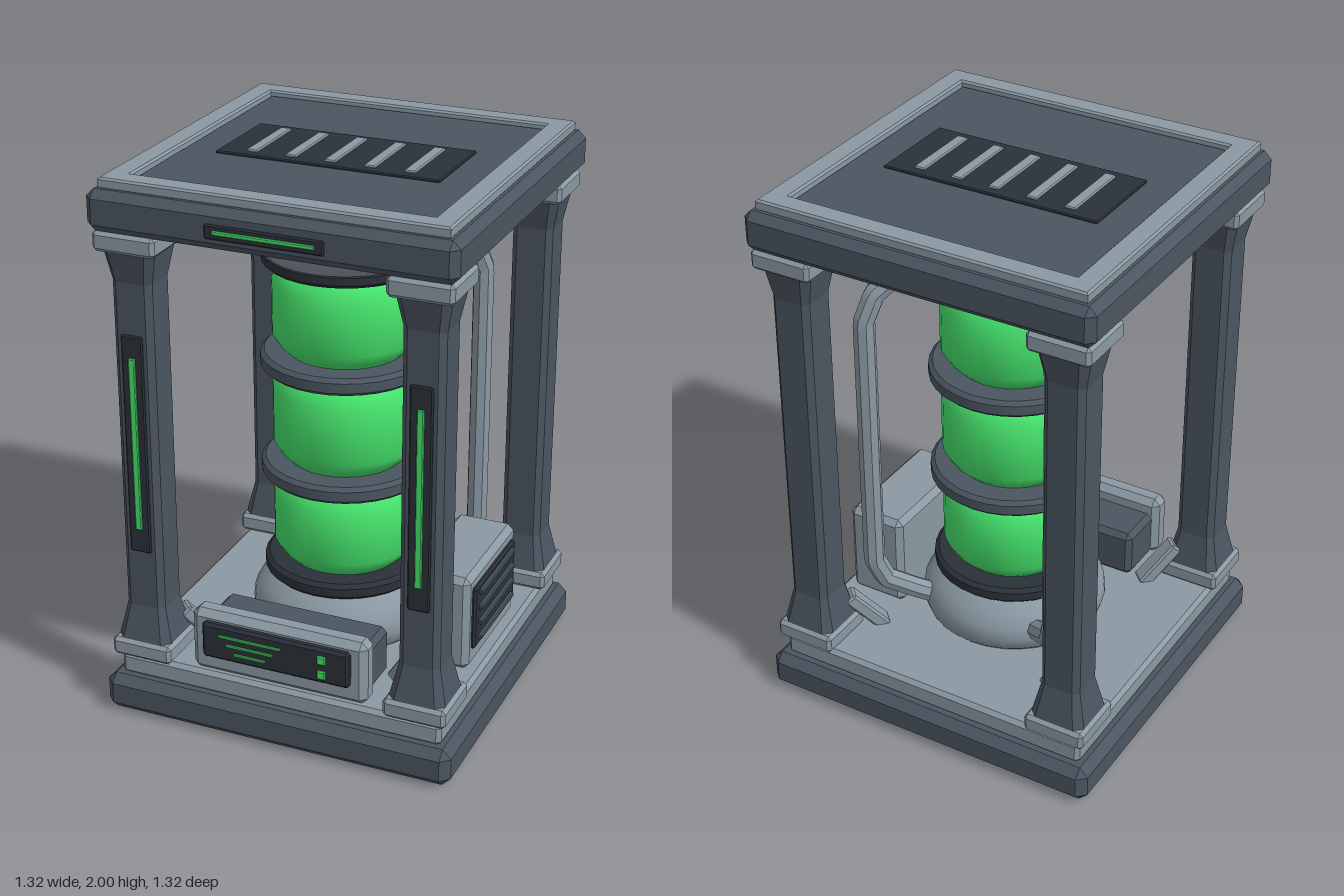
import * as THREE from 'three';
import { ConvexGeometry } from 'three/addons/geometries/ConvexGeometry.js';
import { toCreasedNormals } from 'three/addons/utils/BufferGeometryUtils.js';

const mat = (color, extra = {}) => new THREE.MeshStandardMaterial({ color, ...extra });
const STEEL = mat(0x4b5560);
const LIGHT = mat(0x8b99a3);
const DARK = mat(0x2b3139);
const GREEN = mat(0x46e46c);
const V = (x, y, z) => new THREE.Vector3(x, y, z);
const SIGNS = [-1, 1];

function add(parent, name, geometry, material, x = 0, y = 0, z = 0) {
  const mesh = new THREE.Mesh(geometry, material);
  mesh.name = name;
  mesh.position.set(x, y, z);
  parent.add(mesh);
  return mesh;
}

// Box with every edge chamfered by c, given by its extents
function block(parent, name, material, [x0, x1], [y0, y1], [z0, z1], c = 0.01) {
  const w = (x1 - x0) / 2, h = (y1 - y0) / 2, d = (z1 - z0) / 2;
  const pts = [];
  for (const i of SIGNS) for (const j of SIGNS) for (const k of SIGNS) {
    pts.push(V(i * w, j * (h - c), k * (d - c)));
    pts.push(V(i * (w - c), j * h, k * (d - c)));
    pts.push(V(i * (w - c), j * (h - c), k * d));
  }
  return add(parent, name, new ConvexGeometry(pts), material, (x0 + x1) / 2, (y0 + y1) / 2, (z0 + z1) / 2);
}

// Square post section with chamfered corners, tapering from half-width a to b
function post(parent, name, y0, y1, a, b) {
  const pts = [];
  for (const [y, r] of [[y0, a], [y1, b]])
    for (const i of SIGNS) for (const k of SIGNS) {
      const c = r * 0.72;
      pts.push(V(i * r, y, k * c), V(i * c, y, k * r));
    }
  return add(parent, name, new ConvexGeometry(pts), STEEL);
}

function lathe(parent, name, material, profile) {
  const pts = profile.map(([r, y]) => new THREE.Vector2(r, y));
  return add(parent, name, toCreasedNormals(new THREE.LatheGeometry(pts, 32), 0.6), material);
}

function column(sx, sz) {
  const g = new THREE.Group();
  g.name = 'column';
  block(g, 'columnFoot', LIGHT, [-0.115, 0.115], [0.22, 0.29], [-0.115, 0.115], 0.013);
  post(g, 'lowerFlare', 0.285, 0.42, 0.104, 0.074);
  post(g, 'shaft', 0.42, 1.64, 0.074, 0.074);
  post(g, 'upperFlare', 1.64, 1.76, 0.074, 0.098);
  block(g, 'columnCapital', LIGHT, [-0.115, 0.115], [1.75, 1.822], [-0.115, 0.115], 0.013);
  if (sz > 0) {
    block(g, 'lightHousing', DARK, [-0.04, 0.04], [0.64, 1.455], [0.06, 0.082], 0.005);
    block(g, 'lightStrip', GREEN, [-0.012, 0.012], [0.73, 1.375], [0.07, 0.09], 0.003);
  }
  g.position.set(sx * 0.52, 0, sz * 0.52);
  return g;
}

export function createModel() {
  const model = new THREE.Group();

  // Base and floor
  block(model, 'base', STEEL, [-0.66, 0.66], [0, 0.142], [-0.66, 0.66], 0.032);
  block(model, 'floor', LIGHT, [-0.612, 0.612], [0.135, 0.22], [-0.612, 0.612], 0.015);

  // Roof with a raised frame around a recessed panel
  block(model, 'roof', STEEL, [-0.65, 0.65], [1.82, 1.965], [-0.65, 0.65], 0.028);
  const square = (Type, r) => new Type([[-r, -r], [r, -r], [r, r], [-r, r]].map(([x, y]) => new THREE.Vector2(x, y)));
  const frame = square(THREE.Shape, 0.605);
  frame.holes.push(square(THREE.Path, 0.538));
  const frameGeo = new THREE.ExtrudeGeometry(frame, {
    depth: 0.026, bevelThickness: 0.007, bevelSize: 0.007, bevelSegments: 1,
  });
  frameGeo.rotateX(-Math.PI / 2);
  add(model, 'roofFrame', frameGeo, LIGHT, 0, 1.967, 0);
  block(model, 'roofPanel', STEEL, [-0.528, 0.528], [1.95, 1.982], [-0.528, 0.528], 0.006);
  block(model, 'roofVent', DARK, [-0.405, 0.405], [1.97, 1.99], [-0.175, 0.175], 0.004);
  for (let i = -2; i <= 2; i++)
    block(model, 'roofVentSlat', LIGHT, [i * 0.143 - 0.021, i * 0.143 + 0.021], [1.98, 1.997], [-0.14, 0.14], 0.004);
  block(model, 'roofLightHousing', DARK, [-0.208, 0.208], [1.862, 1.912], [0.63, 0.658], 0.005);
  block(model, 'roofLight', GREEN, [-0.178, 0.178], [1.88, 1.895], [0.64, 0.664], 0.003);

  // Corner columns, each with a slanted brace pointing to the centre
  for (const sx of SIGNS) for (const sz of SIGNS) {
    model.add(column(sx, sz));
    const brace = new THREE.Group();
    brace.name = 'brace';
    const bar = block(brace, 'braceBar', LIGHT, [-0.1, 0.1], [-0.025, 0.025], [-0.035, 0.035], 0.008);
    bar.position.set(0.565, 0.28, 0);
    bar.rotation.z = 0.85;
    brace.rotation.y = Math.atan2(-sz, sx);
    model.add(brace);
  }

  // Tank collars, seals, bands and three glowing cells
  lathe(model, 'lowerCollar', LIGHT, [[0, 0.21], [0.3, 0.21], [0.325, 0.235], [0.34, 0.28], [0.335, 0.325], [0.31, 0.37], [0.27, 0.41], [0.25, 0.425], [0, 0.425]]);
  lathe(model, 'upperCollar', LIGHT, [[0, 1.645], [0.29, 1.645], [0.315, 1.67], [0.342, 1.71], [0.355, 1.76], [0.345, 1.79], [0.315, 1.822], [0, 1.822]]);
  const band = (name, material, y0, y1, r) =>
    lathe(model, name, material, [[0, y0], [r - 0.015, y0], [r, y0 + 0.014], [r, y1 - 0.014], [r - 0.015, y1], [0, y1]]);
  band('lowerSeal', DARK, 0.415, 0.475, 0.295);
  band('upperSeal', DARK, 1.6, 1.655, 0.295);
  band('tankBand', STEEL, 0.8, 0.864, 0.303);
  band('tankBand', STEEL, 1.212, 1.276, 0.303);
  for (const [y0, y1] of [[0.465, 0.81], [0.855, 1.22], [1.265, 1.61]])
    lathe(model, 'glowingCell', GREEN, [[0, y0], [0.2, y0], [0.235, y0 + 0.035], [0.26, y0 + 0.075],
      [0.26, y1 - 0.075], [0.235, y1 - 0.035], [0.2, y1], [0, y1]]);

  // Two pipes behind the tank
  for (const sx of SIGNS) {
    const path = new THREE.CurvePath();
    const pts = [[0.21, 0.3], [0.27, 0.345], [0.345, 0.41], [0.373, 0.5], [0.373, 1.5], [0.345, 1.6], [0.26, 1.7], [0.22, 1.735]]
      .map(([r, y]) => V(sx * r, y, -r));
    for (let i = 1; i < pts.length; i++) path.add(new THREE.LineCurve3(pts[i - 1], pts[i]));
    const pipe = new THREE.TubeGeometry(path, 90, 0.039, 8);
    add(model, 'pipe', toCreasedNormals(pipe, 0.4), mat(0x8b99a3, { side: THREE.DoubleSide }));
  }

  // Front console
  block(model, 'consoleBody', STEEL, [-0.31, 0.31], [0.215, 0.398], [0.335, 0.54], 0.02);
  block(model, 'consoleBezel', LIGHT, [-0.333, 0.333], [0.215, 0.457], [0.51, 0.6], 0.024);
  block(model, 'consoleScreen', DARK, [-0.28, 0.278], [0.288, 0.425], [0.58, 0.624], 0.01);
  [0.235, 0.18, 0.12].forEach((w, i) => {
    const y = 0.386 - i * 0.031;
    block(model, 'screenLine', GREEN, [-0.095 - w / 2, -0.095 + w / 2], [y - 0.005, y + 0.005], [0.61, 0.63], 0.002);
  });
  for (const y of [0.383, 0.325])
    block(model, 'screenButton', GREEN, [0.163, 0.195], [y - 0.016, y + 0.016], [0.61, 0.634], 0.004);

  // Vented machine box on the left side
  block(model, 'ventBox', LIGHT, [0.345, 0.57], [0.215, 0.58], [-0.243, 0.243], 0.022);
  block(model, 'ventPanel', DARK, [0.55, 0.584], [0.29, 0.532], [-0.207, 0.207], 0.008);
  for (let i = 0; i < 4; i++) {
    const y = 0.323 + i * 0.061;
    block(model, 'ventSlat', STEEL, [0.57, 0.597], [y - 0.009, y + 0.009], [-0.172, 0.172], 0.004);
  }
  return model;
}
